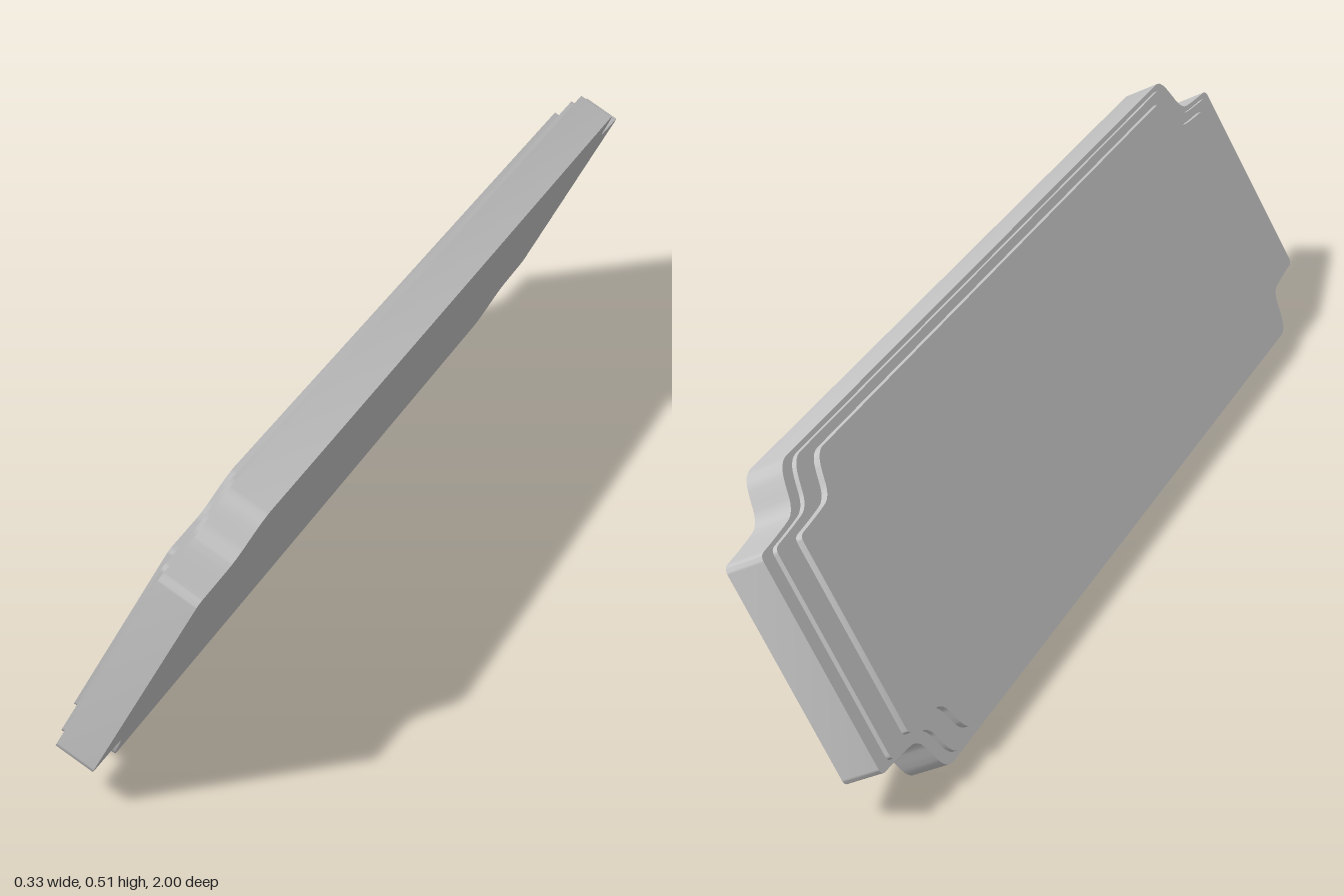
import * as THREE from 'three';
import { toCreasedNormals } from 'three/addons/utils/BufferGeometryUtils.js';

// One corner of the plaque outline, as quadratic segments [control, end] in (length, width)
const START = [1, 0.18];
const CORNER = [
  [[1, 0.191], [0.988, 0.192]],
  [[0.94, 0.194], [0.9, 0.198]],
  [[0.877, 0.2], [0.867, 0.222]],
  [[0.862, 0.235], [0.856, 0.248]],
  [[0.845, 0.272], [0.822, 0.273]],
];

// Outline with four notched, softly curved corners, mirrored from a single corner
function outline(scale) {
  const quarter = new THREE.Path();
  quarter.moveTo(...START);
  for (const [c, e] of CORNER) quarter.quadraticCurveTo(...c, ...e);
  const pts = quarter.getPoints(6);
  const flip = (list, sx, sy) => list.map((p) => new THREE.Vector2(p.x * sx * scale, p.y * sy * scale));
  const back = [...pts].reverse();
  return new THREE.Shape([
    ...flip(pts, 1, 1), ...flip(back, -1, 1),
    ...flip(pts, -1, -1), ...flip(back, 1, -1),
  ]);
}

export function createModel() {
  const model = new THREE.Group();
  model.name = 'tiltedPlaque';
  const grey = new THREE.MeshStandardMaterial({ color: 0xc4c4c4 });
  grey.name = 'plain grey';

  // Stacked layers: name, outline scale, bottom and top height
  const layers = [
    ['basePlate', 1, 0, 0.069],
    ['middleStep', 0.97, 0.069, 0.077],
    ['raisedPanel', 0.915, 0.077, 0.088],
  ];
  const plaque = new THREE.Group();
  plaque.name = 'plaque';
  for (const [name, scale, from, to] of layers) {
    const geo = new THREE.ExtrudeGeometry(outline(scale), { depth: to - from, bevelEnabled: false });
    const mesh = new THREE.Mesh(toCreasedNormals(geo, 0.7), grey);
    mesh.name = name;
    mesh.position.z = from;
    plaque.add(mesh);
  }

  // Lay the length along z and lean the width over, panel facing up and to -x
  const lean = THREE.MathUtils.degToRad(61);
  const c = Math.cos(lean), s = Math.sin(lean);
  const basis = new THREE.Matrix4().makeBasis(
    new THREE.Vector3(0, 0, 1),
    new THREE.Vector3(c, s, 0),
    new THREE.Vector3(-s, c, 0),
  );
  plaque.quaternion.setFromRotationMatrix(basis);
  plaque.position.set(0.0325, 0.273 * s, 0);
  model.add(plaque);
  return model;
}
